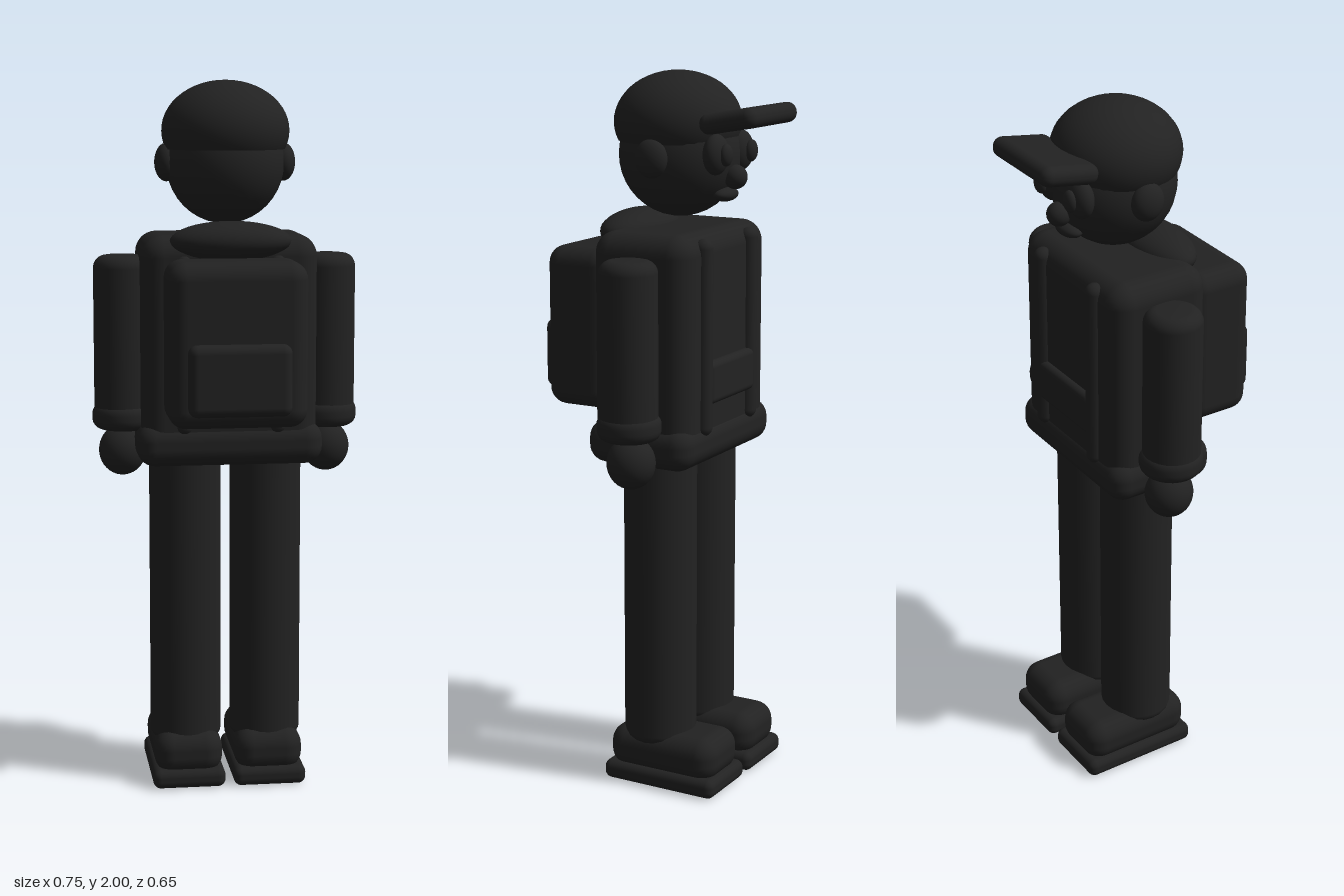
import * as THREE from 'three';
import { RoundedBoxGeometry } from 'three/addons/geometries/RoundedBoxGeometry.js';

const material = new THREE.MeshStandardMaterial({ color: 0x222222 });

export function createModel() {
  const model = new THREE.Group();
  model.name = 'hikerFigure';

  const add = (name, geometry, x, y, z) => {
    const mesh = new THREE.Mesh(geometry, material);
    mesh.name = name;
    mesh.position.set(x, y, z);
    model.add(mesh);
    return mesh;
  };

  // Box with rounded edges, given its full size and centre
  const box = (name, [w, h, d], r, x, y, z) =>
    add(name, new RoundedBoxGeometry(w, h, d, 4, r), x, y, z);

  // Ellipsoid given its three radii
  const ball = (name, [rx, ry, rz], x, y, z) =>
    add(name, new THREE.SphereGeometry(1, 32, 20).scale(rx, ry, rz), x, y, z);

  // Upright cylinder with rounded rims, from y0 to y1
  const roundCylinder = (name, radius, y0, y1, bevel, x, z) => {
    const points = [new THREE.Vector2(0, y0)];
    for (const [cy, start] of [[y0 + bevel, -Math.PI / 2], [y1 - bevel, 0]]) {
      for (let i = 0; i <= 5; i++) {
        const a = start + (i / 5) * Math.PI / 2;
        points.push(new THREE.Vector2(radius - bevel + Math.cos(a) * bevel, cy + Math.sin(a) * bevel));
      }
    }
    points.push(new THREE.Vector2(0, y1));
    return add(name, new THREE.LatheGeometry(points, 24), x, 0, z);
  };

  // Head and cap
  ball('head', [0.165, 0.17, 0.17], 0, 1.775, -0.035);
  const dome = new THREE.SphereGeometry(1, 32, 16, 0, Math.PI * 2, 0, Math.PI * 0.62);
  dome.scale(0.178, 0.138, 0.175);
  add('capDome', dome, 0, 1.862, -0.028);
  const brim = box('capBrim', [0.28, 0.055, 0.17], 0.026, 0, 1.879, -0.243);
  brim.rotation.x = 0.17;

  // Face
  ball('nose', [0.033, 0.033, 0.033], 0, 1.72, -0.205);
  ball('mouth', [0.05, 0.02, 0.03], 0, 1.672, -0.175);

  // Jacket
  box('torso', [0.49, 0.6, 0.3], 0.06, 0, 1.28, -0.035);
  box('jacketHem', [0.52, 0.12, 0.32], 0.05, 0, 1.0, -0.035);
  box('frontPocket', [0.26, 0.12, 0.05], 0.018, 0, 1.17, -0.18);
  ball('hood', [0.168, 0.055, 0.084], 0, 1.565, 0.092);

  // Backpack
  box('backpack', [0.38, 0.45, 0.2], 0.05, 0, 1.297, 0.195);
  box('backpackPocket', [0.28, 0.195, 0.08], 0.025, 0, 1.208, 0.287);

  // Paired parts
  for (const [side, s] of [['left', 1], ['right', -1]]) {
    ball(side + 'Ear', [0.033, 0.053, 0.047], s * 0.164, 1.775, -0.037);
    ball(side + 'Eye', [0.048, 0.055, 0.032], s * 0.072, 1.785, -0.183);
    ball(side + 'Pupil', [0.024, 0.03, 0.016], s * 0.073, 1.785, -0.215);

    add(side + 'FrontStrap', new THREE.CapsuleGeometry(0.026, 0.49, 6, 16), s * 0.13, 1.295, -0.179);
    add(side + 'BackStrap', new THREE.CapsuleGeometry(0.026, 0.45, 6, 16), s * 0.13, 1.28, 0.1);

    roundCylinder(side + 'Sleeve', 0.08, 1.04, 1.52, 0.035, s * 0.29, -0.038);
    roundCylinder(side + 'Cuff', 0.088, 1.03, 1.105, 0.03, s * 0.288, -0.038);
    ball(side + 'Hand', [0.067, 0.072, 0.067], s * 0.291, 0.968, -0.046);

    roundCylinder(side + 'Leg', 0.102, 0.12, 1.0, 0.03, s * 0.115, -0.037);
    box(side + 'Shoe', [0.195, 0.125, 0.335], 0.052, s * 0.115, 0.097, -0.08);
    box(side + 'Sole', [0.208, 0.055, 0.352], 0.022, s * 0.116, 0.0275, -0.081);
  }

  return model;
}
